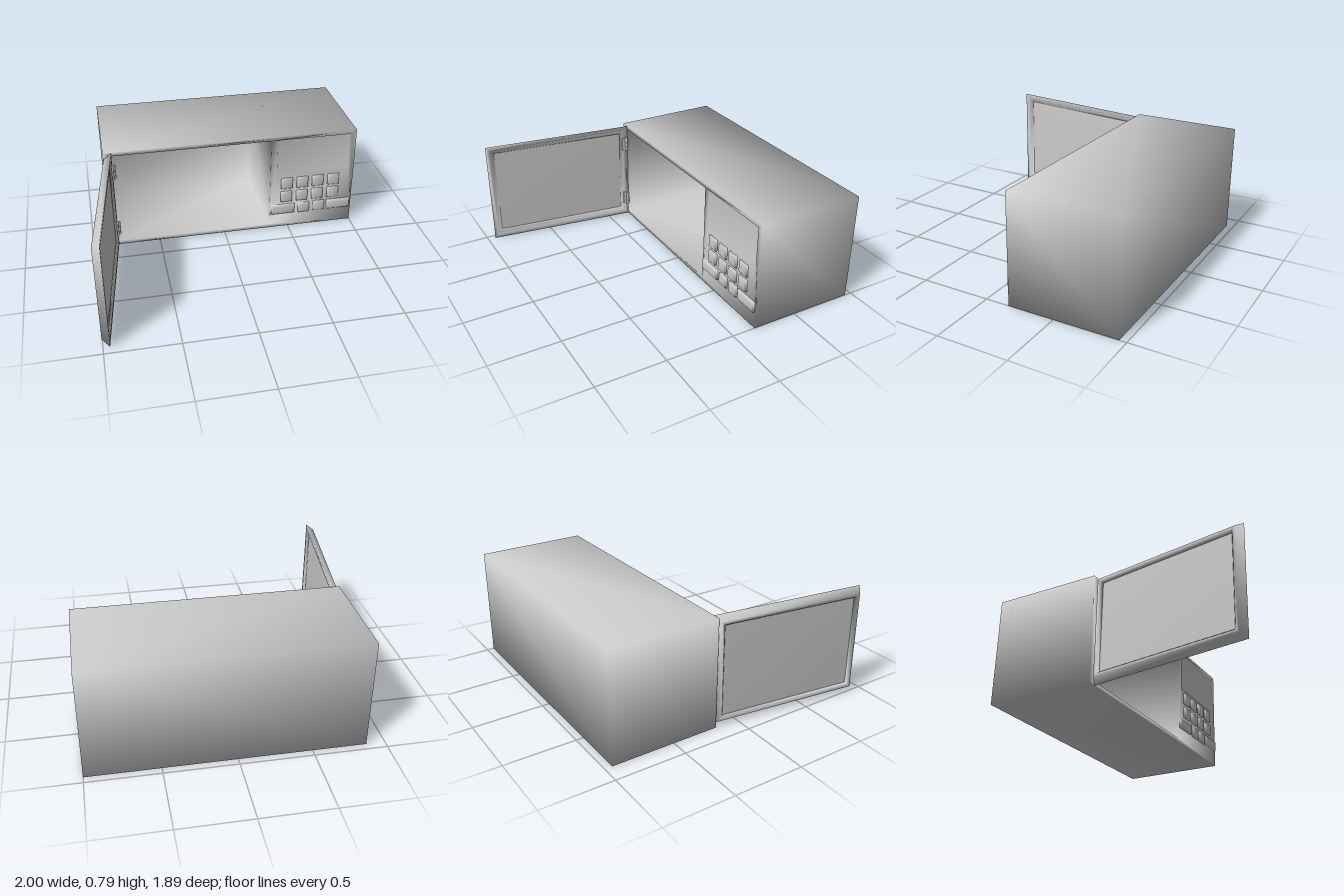
import * as THREE from 'three';
import { mergeGeometries, mergeVertices } from 'three/addons/utils/BufferGeometryUtils.js';

const material = new THREE.MeshStandardMaterial({ color: 0xcccccc, roughness: 0.7 });

// Rectangular cross-section: x0, x1, y0, y1 at depth z
const inset = ([x0, x1, y0, y1], d, z) => [x0 + d, x1 - d, y0 + d, y1 - d, z];

// Joins rectangles into a skin, with optional end caps or a closed loop
function loft(rings, { start = false, end = false, closed = false } = {}) {
  const pos = [], index = [], n = rings.length;
  for (const [x0, x1, y0, y1, z] of rings) pos.push(x0, y0, z, x1, y0, z, x1, y1, z, x0, y1, z);
  for (let i = 0; i < (closed ? n : n - 1); i++) {
    const p = i * 4, q = ((i + 1) % n) * 4;
    for (let j = 0; j < 4; j++) {
      const k = (j + 1) % 4;
      index.push(p + j, p + k, q + k, p + j, q + k, q + j);
    }
  }
  if (start) index.push(0, 2, 1, 0, 3, 2);
  if (end) {
    const e = (n - 1) * 4;
    index.push(e, e + 1, e + 2, e, e + 2, e + 3);
  }
  const g = new THREE.BufferGeometry();
  g.setAttribute('position', new THREE.Float32BufferAttribute(pos, 3));
  g.setIndex(index);
  g.computeVertexNormals();
  return g;
}

function add(parent, name, geometry, x = 0, y = 0, z = 0) {
  const mesh = new THREE.Mesh(geometry, material);
  mesh.name = name;
  mesh.position.set(x, y, z);
  parent.add(mesh);
  return mesh;
}

const corners = ([x0, x1, y0, y1]) =>
  [[x0, y0], [x1, y0], [x1, y1], [x0, y1]].map(([x, y]) => new THREE.Vector2(x, y));

const FRONT = -0.17, BACK = -0.95;

// One welded, smooth skin: shell, front face, cooking cavity and display recess
function bodyGeometry() {
  const outer = [-0.87, 1, 0, 0.785];
  const cavity = [-0.81, 0.35, 0.03, 0.755];
  const display = [0.4, 0.965, 0.455, 0.755];
  const face = new THREE.Shape(corners(outer));
  face.holes = [cavity, display].map((r) => new THREE.Path(corners(r)));
  const front = new THREE.ShapeGeometry(face).translate(0, 0, FRONT);
  const parts = [
    loft([[...outer, BACK], [...outer, FRONT]], { start: true }),
    front,
    loft([[...cavity, FRONT], [...cavity, -0.88]], { end: true }),
    loft([[...display, FRONT], inset(display, 0.012, FRONT - 0.02)], { end: true }),
  ];
  for (const p of parts) {
    p.deleteAttribute('normal');
    p.deleteAttribute('uv');
  }
  const g = mergeVertices(mergeGeometries(parts));
  g.computeVertexNormals();
  return g;
}

// Door in its closed pose, hinged on the local y axis
function buildDoor() {
  const door = new THREE.Group();
  door.name = 'door';
  const rect = [0, 1.124, 0.003, 0.782];
  const profile = [
    [0, 0], [0.033, 0.053], [0.052, 0.053], [0.062, 0.042],
    [0.062, 0.014], [0.04, 0.014], [0.03, 0],
  ];
  add(door, 'doorFrame', loft(profile.map(([d, z]) => inset(rect, d, z)), { closed: true }));
  add(door, 'doorWindow', loft([inset(rect, 0.06, 0.018), inset(rect, 0.06, 0.03)], { start: true, end: true }));
  door.position.set(-0.81, 0, FRONT);
  door.rotation.y = -1.7;
  return door;
}

// Keypad button with bevelled rim
function buttonGeometry(w, h) {
  const r = [-w / 2, w / 2, -h / 2, h / 2];
  return loft([inset(r, 0, 0), inset(r, 0.003, 0.012), inset(r, 0.012, 0.02)], { end: true });
}

function buildKeypad() {
  const keypad = new THREE.Group();
  keypad.name = 'keypad';
  const square = buttonGeometry(0.09, 0.09);
  for (const y of [0.385, 0.27]) {
    for (const x of [0.48, 0.602, 0.722, 0.845]) add(keypad, 'button', square, x, y, FRONT);
  }
  for (const x of [0.62, 0.74]) add(keypad, 'button', buttonGeometry(0.09, 0.085), x, 0.16, FRONT);
  for (const x of [0.455, 0.894]) add(keypad, 'wideButton', buttonGeometry(0.186, 0.08), x, 0.16, FRONT);
  return keypad;
}

// Leaf on the door edge with three knuckles around a pin
function buildHinge(y) {
  const hinge = new THREE.Group();
  hinge.name = 'hinge';
  add(hinge, 'hingeLeaf', new THREE.BoxGeometry(0.012, 0.1, 0.04), -0.809, 0, -0.145).rotation.y = -0.13;
  add(hinge, 'hingePin', new THREE.CylinderGeometry(0.007, 0.007, 0.112, 10), -0.8, 0, -0.158);
  for (const dy of [-0.036, 0, 0.036]) {
    add(hinge, 'hingeKnuckle', new THREE.CylinderGeometry(0.012, 0.012, 0.03, 12), -0.8, dy, -0.158);
  }
  hinge.position.y = y;
  return hinge;
}

export function createModel() {
  const model = new THREE.Group();
  model.name = 'microwaveOven';
  add(model, 'body', bodyGeometry());
  model.add(buildDoor(), buildKeypad(), buildHinge(0.635), buildHinge(0.155));
  return model;
}
